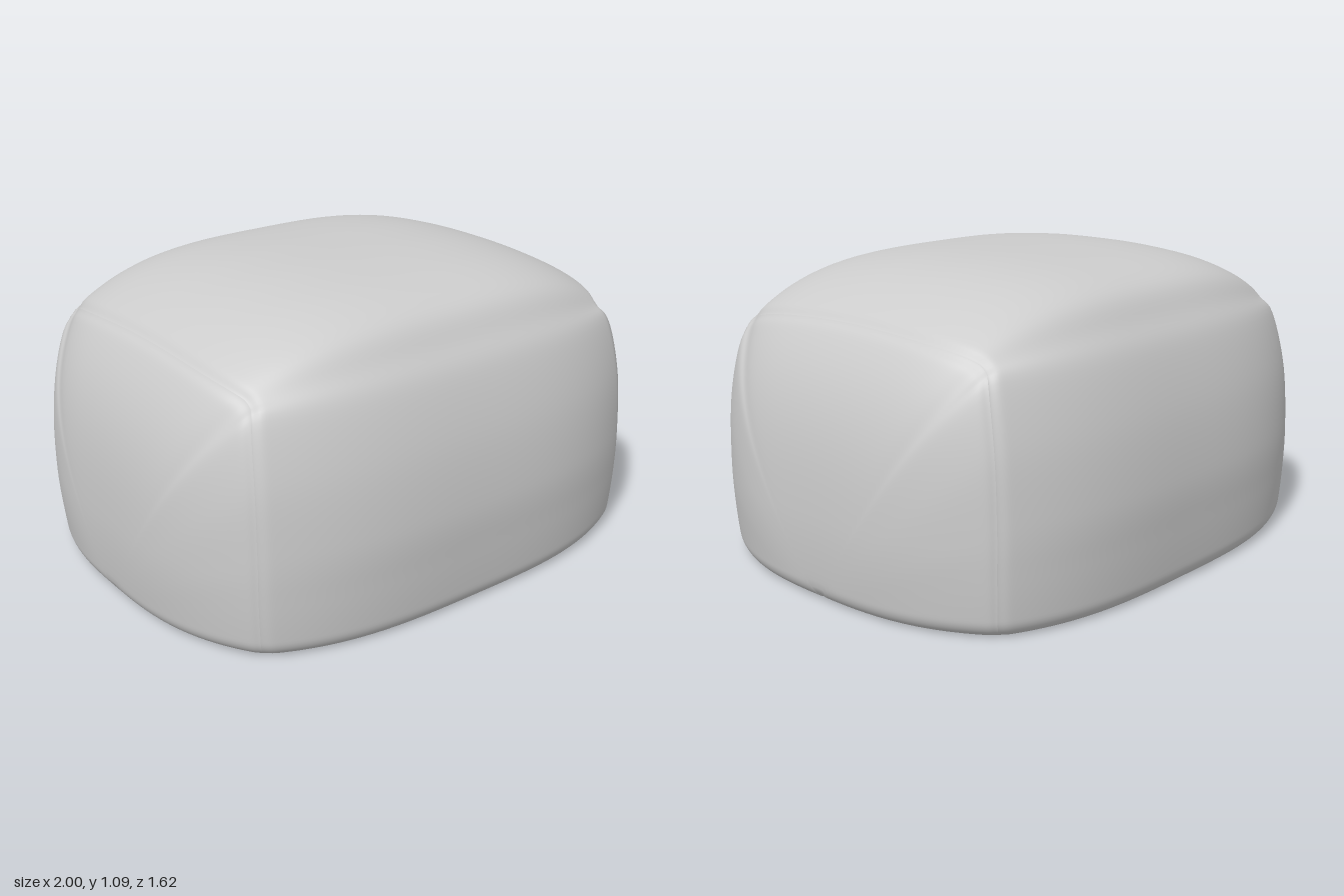
import * as THREE from 'three';
import { ParametricGeometry } from 'three/addons/geometries/ParametricGeometry.js';

// Arch curve over the cushion, from the front foot to the back foot, as (z, y)
function arch(half) {
  const back = half.slice(0, -1).reverse().map(([z, y]) => [-z, y]);
  return new THREE.CatmullRomCurve3(
    [...half, ...back].map(([z, y]) => new THREE.Vector3(0, y, z)), false, 'catmullrom', 0.5);
}

const middleArch = arch([[0.81, 0], [0.81, 0.2], [0.81, 0.38], [0.78, 0.6], [0.72, 0.8],
  [0.66, 0.9], [0.58, 1], [0.42, 1.055], [0.2, 1.08], [0, 1.085]]);
const seamArch = arch([[0.665, 0], [0.665, 0.2], [0.665, 0.38], [0.65, 0.6], [0.605, 0.8],
  [0.565, 0.85], [0.5, 0.88], [0.36, 0.905], [0.18, 0.92], [0, 0.925]]);

// The seam is drawn inward at its two rounded corners
function seamX(u) {
  const dip = (c) => Math.exp(-(((u - c) / 0.08) ** 2));
  return 0.82 - 0.05 * (dip(0.28) + dip(0.72));
}

// Narrow stitched groove beside the seam
const groove = (d) => 1 - 0.012 * Math.exp(-((d / 0.018) ** 2));

// Rounds the foot of the cushion in towards the base
function tuck(p) {
  const q = Math.max(0, 1 - p.y / 0.06);
  const k = 0.02 * Math.max(0, 1 - p.y / 0.3) ** 2 + 0.045 * (1 - Math.sqrt(Math.max(0, 1 - q * q)));
  p.x *= 1 - k;
  p.z *= 1 - k;
  return p;
}

// Wraparound cover: t runs -1..1 between the seams, u along the arch
function coverPoint(t, u, p) {
  const bulge = 1 - Math.abs(t) ** 3.2;
  p.lerpVectors(seamArch.getPoint(u), middleArch.getPoint(u), bulge);
  p.multiplyScalar(groove((1 - Math.abs(t)) * 0.82));
  p.x = t * seamX(u);
  return tuck(p);
}

// Domed side: s runs from the middle of the foot (0) out to the seam (1)
function sidePoint(u, s, p) {
  p.copy(seamArch.getPoint(u));
  const angle = Math.atan2(p.y, p.z);
  const power = 2.8 + 1.4 * Math.sin(angle) ** 2;
  const x = seamX(u);
  p.multiplyScalar(s * groove((1 - s) * 0.65));
  p.x = x + (1 - x) * (1 - s ** power);
  return tuck(p);
}

// Sampling that is denser at both ends
const ease = (v) => (1 - Math.cos(Math.PI * v)) / 2;

export function createModel() {
  const group = new THREE.Group();
  group.name = 'pouf';
  const fabric = new THREE.MeshStandardMaterial({ color: 0xcccccc });
  fabric.name = 'light grey fabric';

  function add(name, geometry) {
    geometry.computeVertexNormals();
    const mesh = new THREE.Mesh(geometry, fabric);
    mesh.name = name;
    group.add(mesh);
    return mesh;
  }

  // Cover over front, top and back
  add('cover', new ParametricGeometry(
    (a, b, p) => coverPoint(2 * ease(a) - 1, ease(b), p), 80, 140));

  // Two matching side panels
  const side = new ParametricGeometry(
    (a, b, p) => sidePoint(ease(a), Math.sin(b * Math.PI / 2), p), 140, 60);
  add('leftSidePanel', side);
  add('rightSidePanel', side).rotation.y = Math.PI;

  // Flat base following the foot of the cover and side panels
  const quarter = [];
  const n = 24;
  for (let i = 0; i <= n; i++) quarter.push(coverPoint(Math.sin(i / n * Math.PI / 2), 0, new THREE.Vector3()));
  for (let i = 1; i <= n; i++) quarter.push(sidePoint(0, Math.cos(i / n * Math.PI / 2), new THREE.Vector3()));
  const front = [...quarter.slice(1).reverse().map((p) => [-p.x, p.z]), ...quarter.map((p) => [p.x, p.z])];
  const rear = front.slice(1, -1).map(([x, z]) => [-x, -z]);
  const outline = [...front, ...rear].map(([x, z]) => new THREE.Vector2(x, z));
  add('base', new THREE.ShapeGeometry(new THREE.Shape(outline)).rotateX(Math.PI / 2));

  return group;
}
